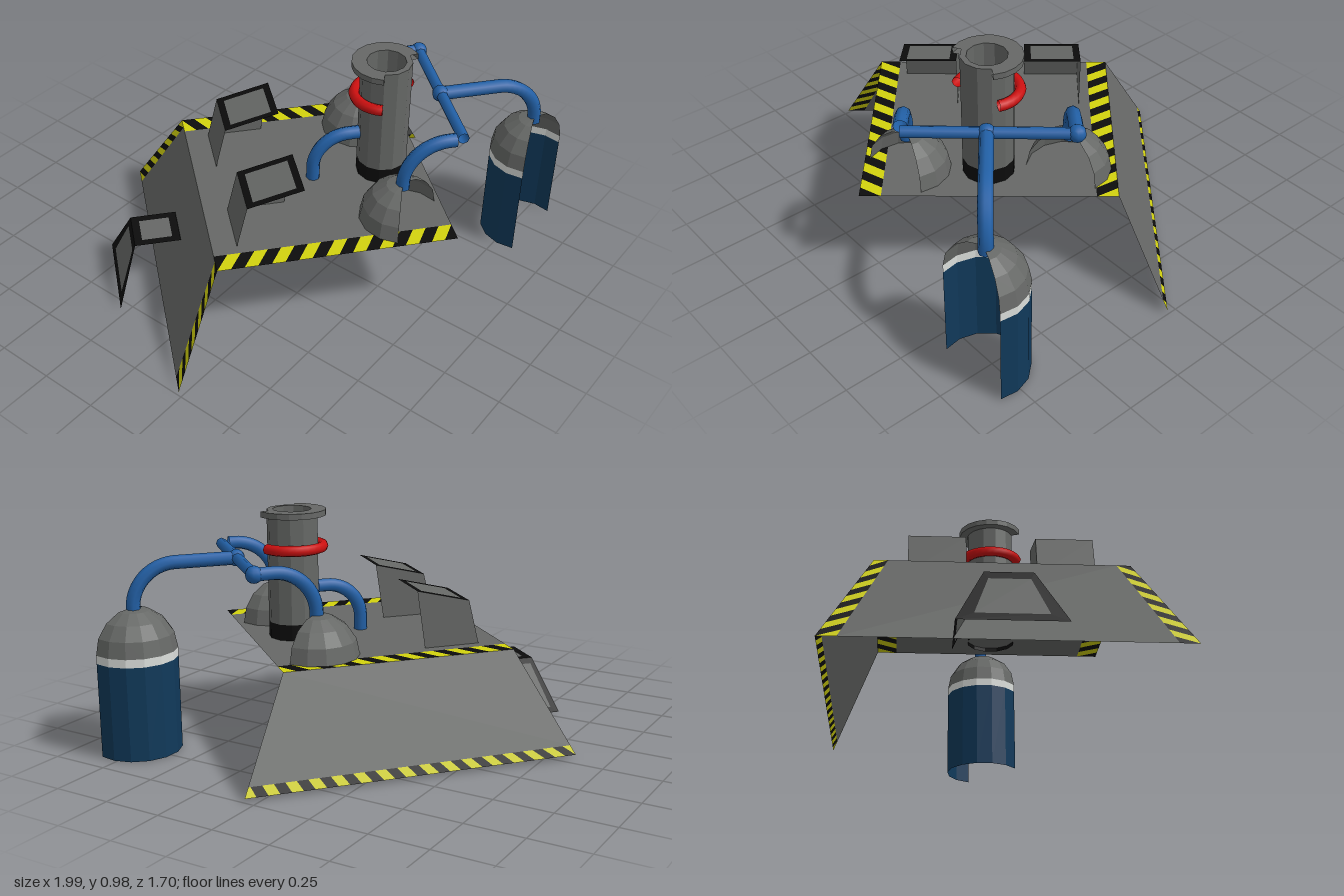
import * as THREE from 'three';

const DEG = Math.PI / 180;
const V = (x, y, z) => new THREE.Vector3(x, y, z);

function mat(name, color, flatShading = true) {
  const m = new THREE.MeshStandardMaterial({ color, flatShading, side: THREE.DoubleSide });
  m.name = name;
  return m;
}

export function createModel() {
  const grey = mat('concrete grey', 0x666866);
  const black = mat('black', 0x0c0c0c);
  const yellow = mat('hazard yellow', 0xd2d20e);
  const red = mat('red', 0xcc1010, false);
  const blue = mat('pipe blue', 0x2260a6, false);
  const navy = mat('tank blue', 0x10395a);
  const white = mat('white', 0xdcdfdc);

  const model = new THREE.Group();
  model.name = 'refinery';

  function add(parent, name, geometry, material) {
    const mesh = new THREE.Mesh(geometry, material);
    mesh.name = name;
    parent.add(mesh);
    return mesh;
  }

  // One mesh from a list of four-cornered faces
  function quads(parent, name, faces, material) {
    const p = [];
    for (const [a, b, c, d] of faces)
      for (const v of [a, b, c, a, c, d]) p.push(v.x, v.y, v.z);
    const g = new THREE.BufferGeometry();
    g.setAttribute('position', new THREE.Float32BufferAttribute(p, 3));
    g.computeVertexNormals();
    return add(parent, name, g, material);
  }

  // Point inside a four-cornered face
  const at = ([a, b, c, d], s, t) =>
    a.clone().lerp(b, s).lerp(d.clone().lerp(c, s), t);

  // Slanted black and yellow stripes, running from side a-d to side b-c
  function hazard(parent, name, face, pairs, slant) {
    const n = pairs * 2, sets = [[], []];
    const edge = (k, t) => THREE.MathUtils.clamp((k + slant * t) / n, 0, 1);
    const reach = Math.ceil(Math.abs(slant));
    for (let k = -reach; k < n + reach; k++) {
      const q = [[k, 0], [k + 1, 0], [k + 1, 1], [k, 1]];
      sets[Math.abs(k) % 2].push(q.map(([i, t]) => at(face, edge(i, t), t)));
    }
    quads(parent, name + 'Black', sets[0], black);
    quads(parent, name + 'Yellow', sets[1], yellow);
  }

  // Grey panel inside a black frame
  function framed(parent, name, face, w) {
    const inner = [[w, w], [1 - w, w], [1 - w, 1 - w], [w, 1 - w]].map(([s, t]) => at(face, s, t));
    quads(parent, name + 'Panel', [inner], grey);
    quads(parent, name + 'Frame', face.map((p, i) => {
      const j = (i + 1) % 4;
      return [p, face[j], inner[j], inner[i]];
    }), black);
  }

  // Base: two sloping walls and a roof, measured from the rear bottom corner
  const base = new THREE.Group();
  base.name = 'base';
  base.position.set(-0.06, 0, -0.86);
  base.rotation.y = -40.5 * DEG;
  model.add(base);
  const y0 = 0.015, y1 = 0.432;
  const A = V(0, y0, 0), B = V(1.39, y0, 0), C = V(0, y0, 1.44);
  const TA = V(0.2, y1, 0.2), TB = V(1.18, y1, 0.2), TC = V(0.2, y1, 1.23), TD = V(1.18, y1, 1.23);

  const band = (face, t0, t1) => [at(face, 0, t0), at(face, 1, t0), at(face, 1, t1), at(face, 0, t1)];
  const roof = [TA, TB, TD, TC];
  quads(base, 'roof', [band(roof, 0.085, 0.915)], grey);
  hazard(base, 'roofStripeRear', band(roof, 0, 0.085), 9, 1);
  hazard(base, 'roofStripeFront', band(roof, 0.915, 1), 9, -1);

  const doorWall = [A, TA, TC, C];
  quads(base, 'doorWall', [band(doorWall, 0.055, 0.945)], grey);
  hazard(base, 'doorWallStripeA', band(doorWall, 0, 0.055), 6, 1);
  hazard(base, 'doorWallStripeB', band(doorWall, 0.945, 1), 6, -1);

  const sideWall = [A, B, TB, TA];
  quads(base, 'sideWall', [band(sideWall, 0.09, 1)], grey);
  hazard(base, 'sideWallStripe', band(sideWall, 0, 0.09), 15, 0.8);

  // Porch with a sloping door, a roof and one cheek
  const porch = new THREE.Group();
  porch.name = 'porch';
  base.add(porch);
  const yp = 0.25;
  const p1 = V(-0.18, y0, 0.51), p2 = V(-0.18, y0, 0.93);
  const q1 = V(-0.09, yp, 0.62), q2 = V(-0.09, yp, 0.81);
  const r1 = V(0.105, yp, 0.62), r2 = V(0.105, yp, 0.81);
  framed(porch, 'door', [p1, p2, q2, q1], 0.14);
  framed(porch, 'porchRoof', [q1, q2, r2, r1], 0.17);
  framed(porch, 'porchCheek', [p1, V(0.11, y0, 0.51), r1, q1], 0.1);

  // Roof vents with slanted framed hatches
  for (const v of [0.455, 0.985]) {
    const vent = new THREE.Group();
    vent.name = 'roofVent';
    base.add(vent);
    const a = v - 0.12, b = v + 0.12;
    const fa = V(0.345, 0.62, a), fb = V(0.345, 0.62, b);
    const ba = V(0.575, 0.677, a), bb = V(0.575, 0.677, b);
    framed(vent, 'ventHatch', [fa, ba, bb, fb], 0.12);
    quads(vent, 'ventBody', [
      [V(0.3, y1, a), V(0.3, y1, b), fb, fa],
      [V(0.3, y1, a), fa, ba, V(0.54, y1, a)],
    ], grey);
  }

  // Shells left open towards the front between angles from and to
  function dome(parent, name, x, y, z, r, from, to) {
    const g = new THREE.SphereGeometry(r, 9, 4, (-180 - from) * DEG, (360 + from - to) * DEG, 0, Math.PI / 2);
    add(parent, name, g, grey).position.set(x, y, z);
  }
  function shell(parent, name, x, z, r, ya, yb, from, to, material) {
    const g = new THREE.CylinderGeometry(r, r, yb - ya, 9, 1, true, (-270 - from) * DEG, (360 + from - to) * DEG);
    add(parent, name, g, material).position.set(x, (ya + yb) / 2, z);
  }
  dome(model, 'rearDome', 0.435, y1, 0.08, 0.174, 5, 135);
  dome(model, 'frontDome', 0.016, y1, 0.58, 0.174, 20, 150);

  // Free-standing tank
  const tank = new THREE.Group();
  tank.name = 'tank';
  model.add(tank);
  dome(tank, 'tankDome', 0.743, 0.435, 0.777, 0.176, 20, 160);
  shell(tank, 'tankBand', 0.743, 0.777, 0.176, 0.4, 0.435, 20, 160, white);
  shell(tank, 'tankBody', 0.743, 0.777, 0.176, 0, 0.4, 20, 160, navy);

  // Chimney with a dark foot, a rim and a red collar
  const chimney = new THREE.Group();
  chimney.name = 'chimney';
  chimney.position.set(0.23, 0, 0.333);
  model.add(chimney);
  const lathe = (pts, start = 0, len = 360) =>
    new THREE.LatheGeometry(pts.map(([r, y]) => new THREE.Vector2(r, y)), 12, start * DEG, len * DEG);
  add(chimney, 'chimneyFoot', lathe([[0.107, 0.415], [0.107, 0.5]]), black);
  add(chimney, 'chimneyShaft', lathe([[0.107, 0.5], [0.107, 0.955]]), grey);
  add(chimney, 'chimneyRim', lathe([[0.107, 0.955], [0.144, 0.955], [0.144, 0.98], [0.082, 0.98]], -300, 240), grey);
  add(chimney, 'chimneyLip', lathe([[0.107, 0.955], [0.107, 0.98], [0.082, 0.98], [0.082, 0.82], [0, 0.82]]), grey);
  const collar = new THREE.TorusGeometry(0.128, 0.023, 8, 20, 230 * DEG);
  collar.rotateZ(150 * DEG).rotateX(Math.PI / 2);
  add(chimney, 'collar', collar, red).position.y = 0.822;

  // Pipes: rise from a point, bend, then run level to an end point
  const yPipe = 0.787;
  function pipe(name, from, to, bend) {
    const dir = V(to.x - from.x, 0, to.z - from.z).normalize();
    const corner = V(from.x, to.y, from.z);
    const path = new THREE.CurvePath();
    const up = corner.clone().setY(to.y - bend);
    const out = corner.clone().addScaledVector(dir, bend);
    const k = 0.45 * bend;
    path.add(new THREE.LineCurve3(from, up));
    path.add(new THREE.CubicBezierCurve3(up, corner.clone().setY(to.y - k),
      corner.clone().addScaledVector(dir, k), out));
    path.add(new THREE.LineCurve3(out, to));
    add(model, name, new THREE.TubeGeometry(path, 24, 0.029, 8), blue);
  }
  const jointA = V(0.415, yPipe, 0.49), jointB = V(0.64, yPipe, 0.235);
  pipe('rearDomePipe', V(0.435, 0.58, 0.08), jointB, 0.18);
  pipe('frontDomePipe', V(0.016, 0.58, 0.58), V(0.175, yPipe, 0.715), 0.18);
  pipe('tankPipe', V(0.75, 0.58, 0.77), jointA, 0.18);
  pipe('chimneyPipe', V(0.0, y1, 0.14), V(0.15, 0.64, 0.265), 0.15);
  add(model, 'mainPipe', new THREE.TubeGeometry(
    new THREE.LineCurve3(V(0.2, yPipe, 0.735), jointB), 1, 0.024, 8), blue);
  for (const j of [jointA, jointB])
    add(model, 'pipeJoint', new THREE.SphereGeometry(0.036, 10, 8), blue).position.copy(j);

  return model;
}
